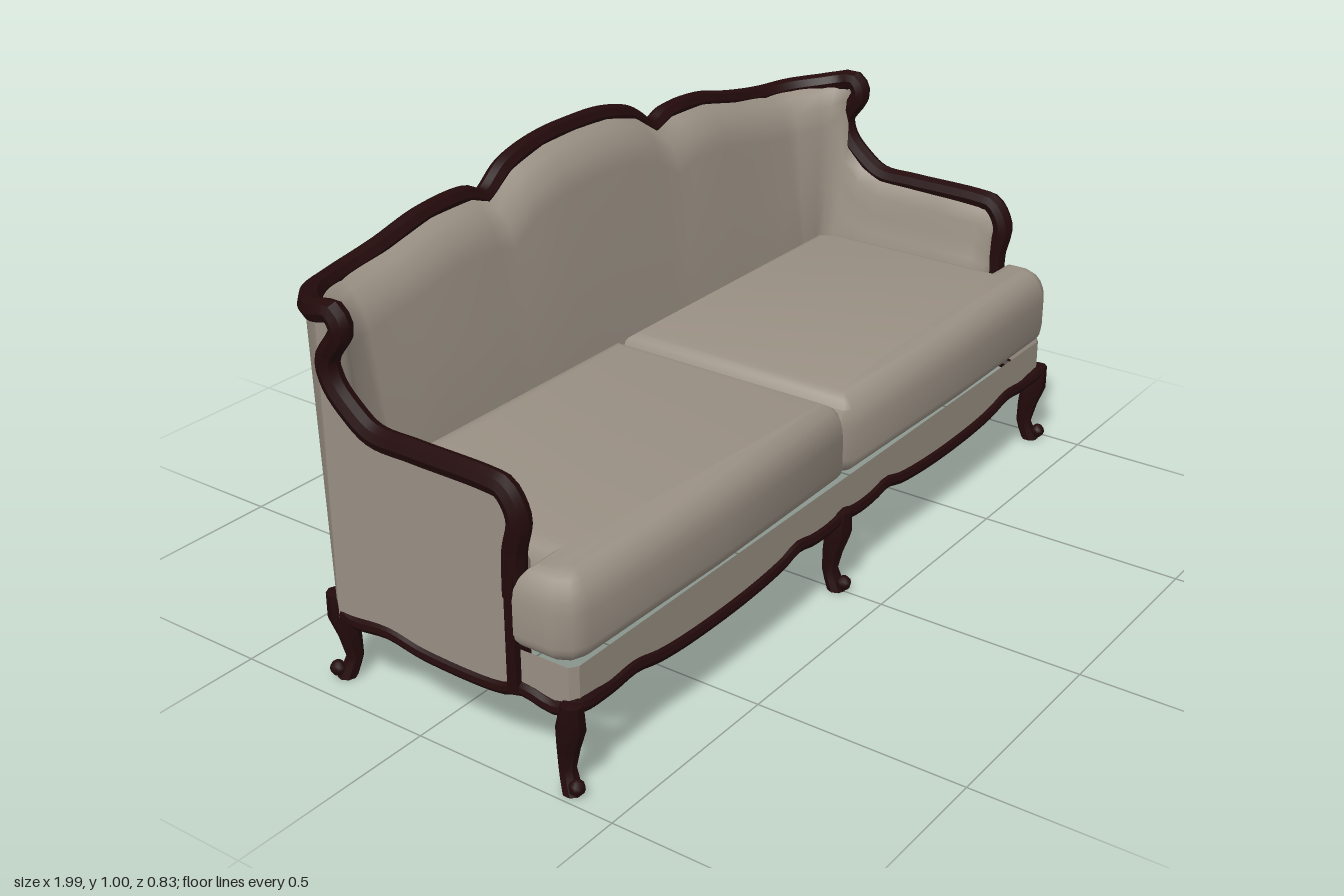
import * as THREE from 'three';
import { toCreasedNormals } from 'three/addons/utils/BufferGeometryUtils.js';

const fabric = new THREE.MeshStandardMaterial({ color: 0x9a9084, side: THREE.DoubleSide });
fabric.name = 'taupe fabric';
const wood = new THREE.MeshStandardMaterial({ color: 0x230a0b });
wood.name = 'dark wood';

const V = (x, y, z) => new THREE.Vector3(x, y, z);

// Reflect a half run (starting at x = 0) into a full run from -x to +x
const mirrorRun = (half) => [
  ...half.slice(1).reverse().map(([x, ...rest]) => [-x, ...rest]),
  ...half,
];

function addMesh(group, name, geometry, material) {
  const mesh = new THREE.Mesh(geometry, material);
  mesh.name = name;
  group.add(mesh);
  return mesh;
}

// Surface through equally long rows of points
function loft(rows) {
  const n = rows[0].length;
  const index = [];
  for (let i = 0; i < rows.length - 1; i++) {
    for (let j = 0; j < n - 1; j++) {
      const a = i * n + j, b = a + n;
      index.push(a, b, a + 1, a + 1, b, b + 1);
    }
  }
  const geometry = new THREE.BufferGeometry().setFromPoints(rows.flat());
  geometry.setIndex(index);
  geometry.computeVertexNormals();
  return geometry;
}

function tube(points, radius, segments, closed = false) {
  const curve = new THREE.CatmullRomCurve3(points.map((p) => V(...p)), closed);
  return toCreasedNormals(new THREE.TubeGeometry(curve, segments, radius, 8, closed), 0.6);
}

// Carved top rail: back crest from the centre to the wing, then the arm
const crest = [
  [0, 0.973, -0.391], [0.12, 0.968, -0.39], [0.23, 0.94, -0.389], [0.31, 0.889, -0.387],
  [0.37, 0.91, -0.386], [0.5, 0.908, -0.386], [0.64, 0.878, -0.385], [0.78, 0.856, -0.383],
  [0.87, 0.86, -0.35], [0.935, 0.868, -0.288], [0.96, 0.878, -0.24],
];
const arm = [
  [0.962, 0.886, -0.2], [0.962, 0.853, -0.18], [0.962, 0.78, -0.224], [0.962, 0.73, -0.212],
  [0.962, 0.68, -0.165], [0.962, 0.645, -0.11], [0.962, 0.64, 0], [0.962, 0.637, 0.19],
  [0.962, 0.63, 0.228], [0.962, 0.575, 0.26], [0.962, 0.5, 0.246], [0.962, 0.4, 0.243],
];

// Scalloped lower edge, shared by the front and back aprons: [x, y]
const scallop = [
  [0, 0.195], [0.06, 0.188], [0.13, 0.19], [0.19, 0.2], [0.25, 0.185], [0.4, 0.172],
  [0.6, 0.173], [0.7, 0.182], [0.78, 0.198], [0.86, 0.192], [0.96, 0.2],
];

function outerShell(group) {
  // Leaning back panel, curved round the corners
  const rows = mirrorRun(crest).map(([x, y, z]) => {
    const t = THREE.MathUtils.clamp((-z - 0.24) / 0.14, 0, 1);
    const wide = x * 1.013;
    return [V(wide, 0.185, z + 0.05 * t), V(wide, (y + 0.185) / 2, z + 0.018 * t), V(wide, y, z - 0.014 * t)];
  });
  addMesh(group, 'outerBack', loft(rows), fabric);

  // Flat outside panel under each arm
  const shape = new THREE.Shape();
  shape.moveTo(-0.24, 0.185);
  shape.lineTo(-0.24, 0.88);
  arm.forEach(([, y, z]) => shape.lineTo(z, y));
  shape.lineTo(0.24, 0.19);
  shape.closePath();
  for (const side of [-1, 1]) {
    const panel = addMesh(group, side > 0 ? 'leftOuterArm' : 'rightOuterArm', new THREE.ShapeGeometry(shape), fabric);
    panel.rotation.y = -Math.PI / 2;
    panel.position.x = side * 0.973;
  }
}

function innerPadding(group) {
  // Stations: x, y and z on the rail, inward x, inward z, padding depth
  const stations = [
    ...crest.slice(0, 8).map((p) => [...p, 0, 1, 1]),
    [0.87, 0.86, -0.35, -0.6, 0.8, 0.95],
    [0.935, 0.865, -0.288, -0.85, 0.5, 0.75],
    [0.96, 0.872, -0.245, -1, 0.15, 0.6],
    [0.962, 0.85, -0.212, -1, 0, 0.55],
    [0.962, 0.72, -0.2, -1, 0, 0.52],
    [0.962, 0.67, -0.155, -1, 0, 0.52],
    [0.962, 0.642, -0.1, -1, 0, 0.52],
    [0.962, 0.635, 0.1, -1, 0, 0.5],
    [0.962, 0.63, 0.2, -1, 0, 0.47],
    [0.962, 0.6, 0.235, -1, 0, 0.38],
    [0.962, 0.58, 0.247, -1, 0, 0],
  ];
  const rowsFor = (side) => ([x, y, z, nx, nz, d]) => [
    [0.015, y + 0.003], [0.05, y - 0.015], [0.08, y - 0.05], [0.095, y - 0.1],
    [0.12, (y - 0.1 + 0.45) / 2], [0.15, 0.45], [0.15, 0.36],
  ].map(([off, py]) => V(side * (x + nx * off * d), py, z + nz * off * d));
  const right = stations.slice(1).reverse().map(rowsFor(-1));
  addMesh(group, 'innerPadding', loft([...right, ...stations.map(rowsFor(1))]), fabric);
}

function cushions(group) {
  // T-shaped plan with an ear in front of the arm, as [x, z]
  const plan = [
    [0, -0.26], [0, 0.38], [0.025, 0.4], [0.5, 0.408], [0.93, 0.402], [0.967, 0.387],
    [0.987, 0.35], [0.987, 0.255], [0.905, 0.252], [0.905, -0.2], [0.86, -0.26],
  ];
  const shape = new THREE.Shape(plan.map(([x, z]) => new THREE.Vector2(x, -z)));
  const bevel = 0.055;
  const solid = new THREE.ExtrudeGeometry(shape, {
    depth: 0.075, bevelThickness: 0.08, bevelSize: bevel, bevelOffset: -bevel, bevelSegments: 5,
  });
  solid.rotateX(-Math.PI / 2);

  // Leave the underside open and round the lower edge more tightly than the upper
  const source = solid.attributes.position;
  const points = [];
  for (let i = 0; i < source.count; i += 3) {
    const face = [0, 1, 2].map((k) => new THREE.Vector3().fromBufferAttribute(source, i + k));
    if (face.every((p) => p.y < -0.0799)) continue;
    face.forEach((p) => points.push(V(p.x, 0.33 + (p.y < 0 ? p.y * 0.55 : p.y), p.z)));
  }
  const cover = toCreasedNormals(new THREE.BufferGeometry().setFromPoints(points), 0.8);

  // Flat lip under the front edge
  const lip = new THREE.PlaneGeometry(0.88, 0.13);
  lip.rotateX(Math.PI / 2);
  lip.translate(0.493, 0.286, 0.287);

  for (const side of [-1, 1]) {
    const cushion = new THREE.Group();
    cushion.name = side > 0 ? 'leftCushion' : 'rightCushion';
    addMesh(cushion, 'cushionCover', cover, fabric);
    addMesh(cushion, 'cushionLip', lip, fabric);
    cushion.scale.x = side;
    group.add(cushion);
  }
}

function apron(group) {
  // Thin front apron that wraps round to the arm posts
  const edge = mirrorRun([
    ...scallop.slice(0, -1).map(([x, y]) => [x, y, 0.388]),
    [0.95, 0.2, 0.388], [0.968, 0.196, 0.375], [0.97, 0.19, 0.245],
  ]);
  const front = loft(edge.map(([x, y, z]) => [V(x, 0.288, z), V(x, y, z)]));
  addMesh(group, 'frontApron', toCreasedNormals(front, 0.6), fabric);

  // Carved moulding running round the whole lower edge
  const sideRun = [[0.34, 0.186], [0.26, 0.198], [0.2, 0.182], [0, 0.182], [-0.1, 0.197], [-0.2, 0.188]]
    .map(([z, y]) => [0.967, y, z]);
  const corner = [[0.955, 0.195, -0.245], [0.92, 0.198, -0.278], [0.87, 0.195, -0.306]];
  const frontRun = mirrorRun(scallop).map(([x, y]) => [x, y, 0.385]);
  const backRun = mirrorRun(scallop.slice(0, 9)).map(([x, y]) => [x, y, -0.333]);
  const flip = (list) => list.map(([x, y, z]) => [-x, y, z]).reverse();
  const loop = [...frontRun, ...sideRun, ...corner, ...backRun.reverse(), ...flip(corner), ...flip(sideRun)];
  addMesh(group, 'baseMoulding', tube(loop, 0.016, 200, true), wood);
}

function legs(group) {
  // Curved leg: height, forward shift, radius
  const rings = [
    [0.215, 0.012, 0.001], [0.21, 0.012, 0.024], [0.15, 0.004, 0.032], [0.1, -0.008, 0.025],
    [0.05, -0.015, 0.019], [0.025, -0.006, 0.021], [0, 0.004, 0.022], [0, 0.004, 0.001],
  ];
  const rows = rings.map(([y, shift, r]) => Array.from({ length: 9 }, (_, j) => {
    const a = (j / 8) * Math.PI * 2;
    return V(Math.sin(a) * r, y, shift + Math.cos(a) * r);
  }));
  const legGeometry = toCreasedNormals(loft(rows), 0.7);
  const toeGeometry = new THREE.SphereGeometry(0.018, 8, 6);

  // Position and facing angle of each leg
  const places = [
    ['frontLeg', 0, 0.375, 0], ['backLeg', 0, -0.322, Math.PI],
    ['frontLeg', 0.965, 0.372, 0.4], ['frontLeg', -0.965, 0.372, -0.4],
    ['backLeg', 0.92, -0.28, 2.3], ['backLeg', -0.92, -0.28, -2.3],
  ];
  for (const [name, x, z, angle] of places) {
    const leg = new THREE.Group();
    leg.name = name;
    addMesh(leg, 'legPost', legGeometry, wood);
    addMesh(leg, 'toeScroll', toeGeometry, wood).position.set(0, 0.022, 0.023);
    leg.position.set(x, 0, z);
    leg.rotation.y = angle;
    group.add(leg);
  }
}

export function createModel() {
  const sofa = new THREE.Group();
  sofa.name = 'sofa';
  outerShell(sofa);
  innerPadding(sofa);
  cushions(sofa);
  apron(sofa);
  legs(sofa);

  // Top rail and the slim posts that carry it down to the base
  addMesh(sofa, 'topRail', tube(mirrorRun([...crest, ...arm]), 0.026, 240), wood);
  for (const side of [-1, 1]) {
    const post = addMesh(sofa, 'armPost', new THREE.BoxGeometry(0.048, 0.27, 0.024), wood);
    post.position.set(side * 0.962, 0.325, 0.245);
  }
  return sofa;
}
